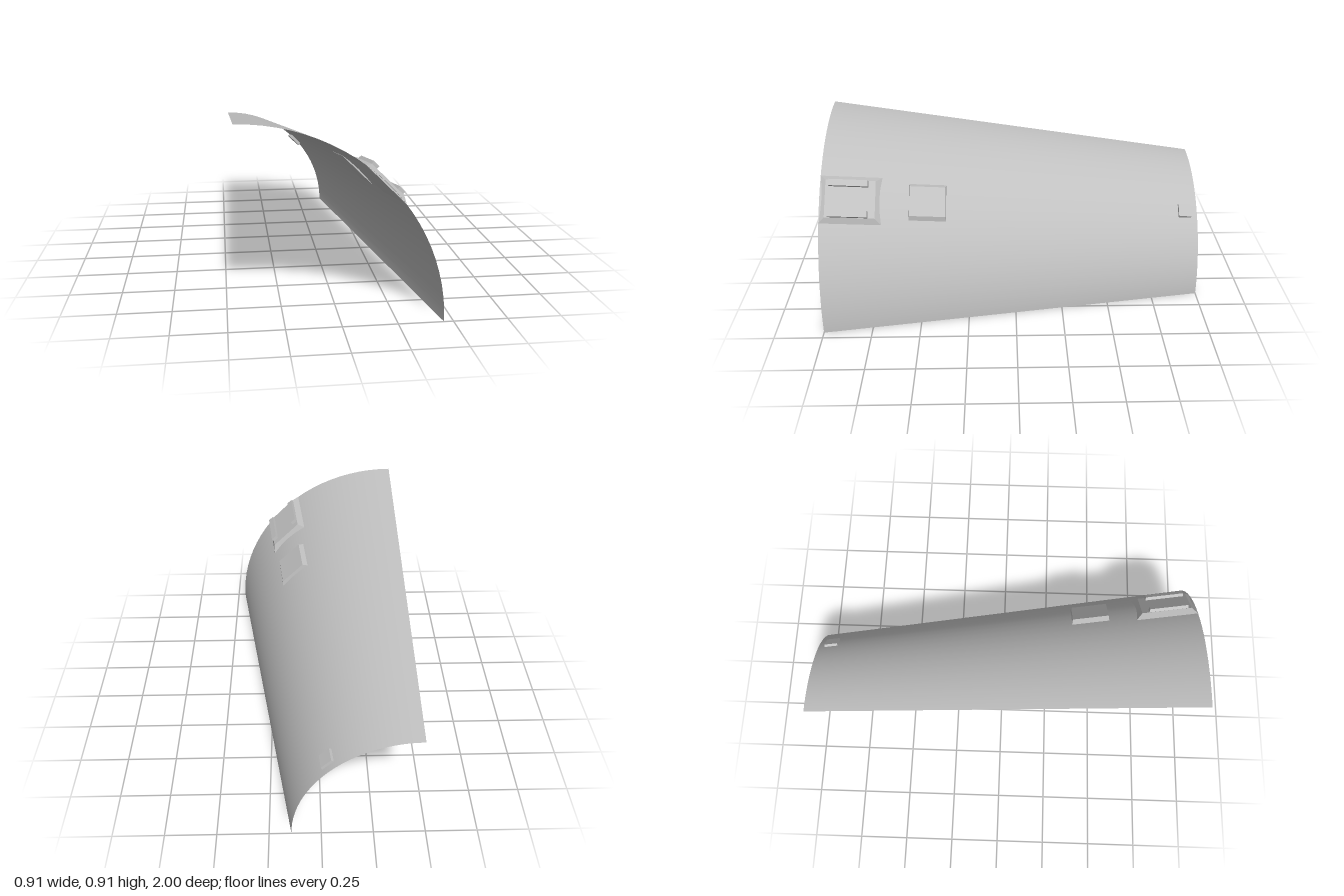
import * as THREE from 'three';

const AXIS_X = -0.457;
const R_FRONT = 0.914, R_BACK = 0.6;
const radiusAt = (z) => R_BACK + (R_FRONT - R_BACK) * (z + 1) / 2;

// Tapered block lying along the cone: x is tangential, y is radial
function coneBlock({ z0, z1, x = 0, half, topHalf, inset, bottom, top }) {
  const g = new THREE.BoxGeometry(1, 1, 1);
  const p = g.attributes.position;
  for (let i = 0; i < p.count; i++) {
    const up = p.getY(i) > 0;
    const sx = Math.sign(p.getX(i));
    const cut = up ? inset : 0;
    const z = p.getZ(i) > 0 ? z1 - cut : z0 + cut;
    p.setXYZ(i, x + sx * (up ? topHalf : half), radiusAt(z) + (up ? top : bottom), z);
  }
  g.computeVertexNormals();
  return g;
}

export function createModel() {
  const model = new THREE.Group();
  model.name = 'curvedPanel';
  const grey = new THREE.MeshStandardMaterial({ color: 0xc0c0c0, side: THREE.DoubleSide });
  grey.name = 'panelGrey';

  const add = (parent, name, geometry) => {
    const mesh = new THREE.Mesh(geometry, grey);
    mesh.name = name;
    parent.add(mesh);
  };

  // Quarter cone shell, open on all edges
  const shell = new THREE.CylinderGeometry(R_FRONT, R_BACK, 2, 24, 1, true, Math.PI / 2, Math.PI / 2);
  shell.rotateX(Math.PI / 2);
  shell.translate(AXIS_X, 0, 0);
  add(model, 'shell', shell);

  // Fittings sit halfway round the arc
  const fittings = new THREE.Group();
  fittings.name = 'fittings';
  fittings.position.x = AXIS_X;
  fittings.rotation.z = -Math.PI / 4;
  model.add(fittings);

  add(fittings, 'frontMount', coneBlock({
    z0: 0.69, z1: 1, half: 0.127, topHalf: 0.1, inset: 0.03, bottom: -0.009, top: 0.015,
  }));
  for (const side of [-1, 1]) {
    add(fittings, side < 0 ? 'upperRail' : 'lowerRail', coneBlock({
      z0: 0.755, z1: 0.955, x: side * 0.082, half: 0.017, topHalf: 0.017, inset: 0.003, bottom: 0.01, top: 0.032,
    }));
  }
  add(fittings, 'middlePlate', coneBlock({
    z0: 0.36, z1: 0.553, half: 0.1, topHalf: 0.08, inset: 0.004, bottom: -0.008, top: 0.015,
  }));
  add(fittings, 'rearTab', coneBlock({
    z0: -0.968, z1: -0.892, half: 0.041, topHalf: 0.033, inset: 0.004, bottom: -0.018, top: 0.012,
  }));
  return model;
}
